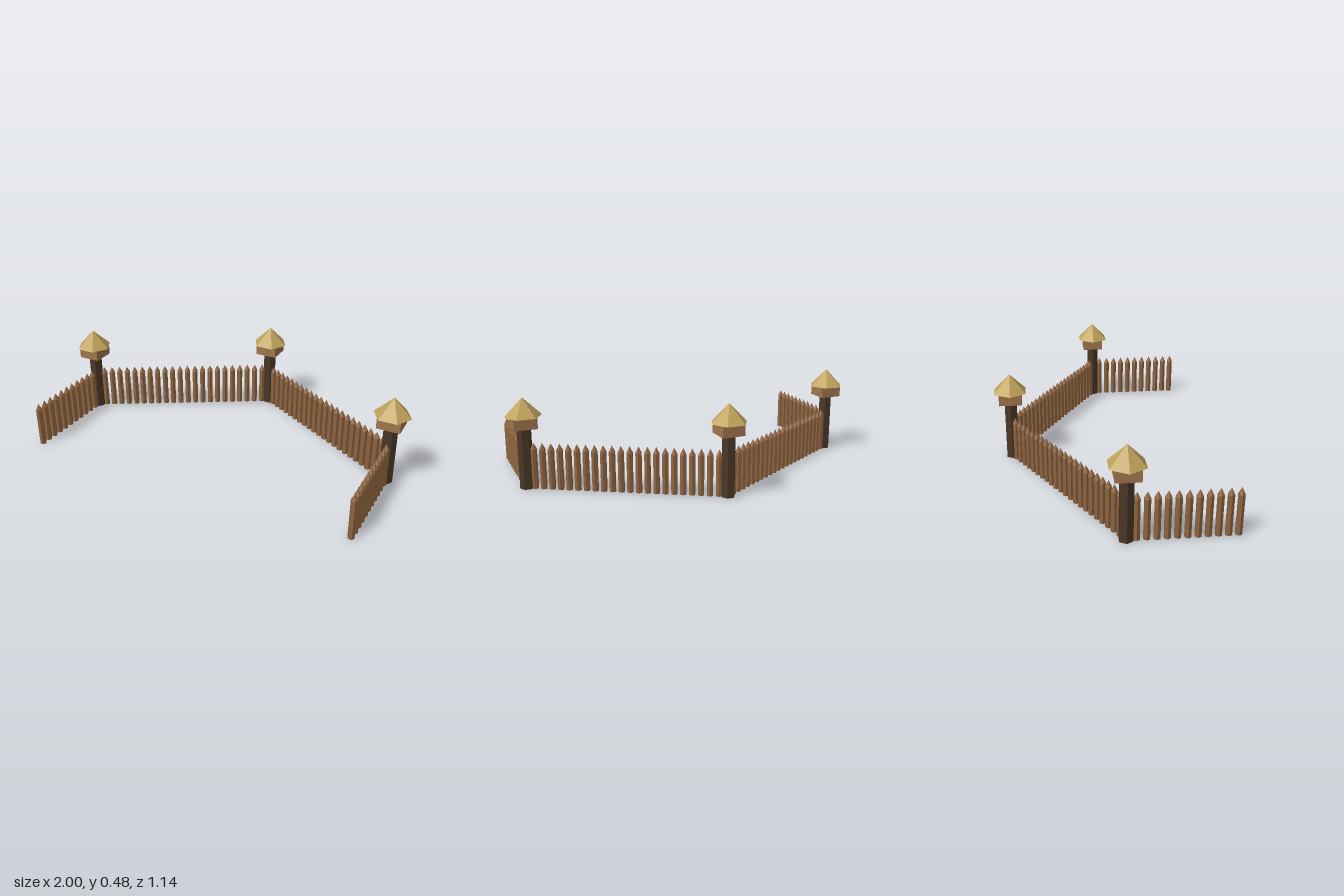
import * as THREE from 'three';

const mat = (name, color) => {
  const m = new THREE.MeshStandardMaterial({ color, flatShading: true });
  m.name = name;
  return m;
};

export function createModel() {
  const model = new THREE.Group();
  model.name = 'palisade';

  const stakeWood = mat('stake wood', 0x8e6440);
  const postWood = mat('dark post wood', 0x4a3728);
  const platformWood = mat('platform wood', 0xa0764e);
  const thatch = mat('thatch', 0xbfa25a);

  // six-sided prisms and cones, with corners on the x axis
  const hexPrism = (r, h, y) => new THREE.CylinderGeometry(r, r, h, 6).rotateY(Math.PI / 6).translate(0, y + h / 2, 0);
  const hexCone = (r, h, y) => new THREE.ConeGeometry(r, h, 6).rotateY(Math.PI / 6).translate(0, y + h / 2, 0);

  const add = (parent, name, geometry, material) => {
    const mesh = new THREE.Mesh(geometry, material);
    mesh.name = name;
    parent.add(mesh);
  };

  // layout: towers on three corners, walls between and in front of them
  const X = 0.903, Z = 0.035, BACK = -0.486, FRONT = 0.557;
  const left = [X, Z], right = [-X, Z], back = [0, BACK];

  // watchtowers
  const postGeo = hexPrism(0.037, 0.325, 0);
  const platformGeo = new THREE.BoxGeometry(0.121, 0.06, 0.121).translate(0, 0.355, 0);
  const roofGeo = hexCone(0.097, 0.097, 0.385);
  const addTower = (name, [x, z]) => {
    const tower = new THREE.Group();
    tower.name = name;
    add(tower, 'post', postGeo, postWood);
    add(tower, 'platform', platformGeo, platformWood);
    add(tower, 'roof', roofGeo, thatch);
    tower.position.set(x, 0, z);
    model.add(tower);
  };
  addTower('leftTower', left);
  addTower('rightTower', right);
  addTower('backTower', back);

  // pointed stakes, evenly spaced from a tower to the wall's end
  const shaftGeo = hexPrism(0.0172, 0.21, 0);
  const tipGeo = hexCone(0.0178, 0.035, 0.21);
  const addWall = (name, from, to, steps, last) => {
    const wall = new THREE.Group();
    wall.name = name;
    for (let i = 1; i <= last; i++) {
      const t = i / steps;
      const stake = new THREE.Group();
      stake.name = 'stake';
      add(stake, 'shaft', shaftGeo, stakeWood);
      add(stake, 'tip', tipGeo, stakeWood);
      stake.position.set(
        THREE.MathUtils.lerp(from[0], to[0], t), 0,
        THREE.MathUtils.lerp(from[1], to[1], t));
      wall.add(stake);
    }
    model.add(wall);
  };
  addWall('leftBackWall', back, left, 23, 22);
  addWall('rightBackWall', back, right, 23, 22);
  addWall('leftSideWall', left, [X, FRONT], 11, 11);
  addWall('rightSideWall', right, [-X, FRONT], 11, 11);

  return model;
}
